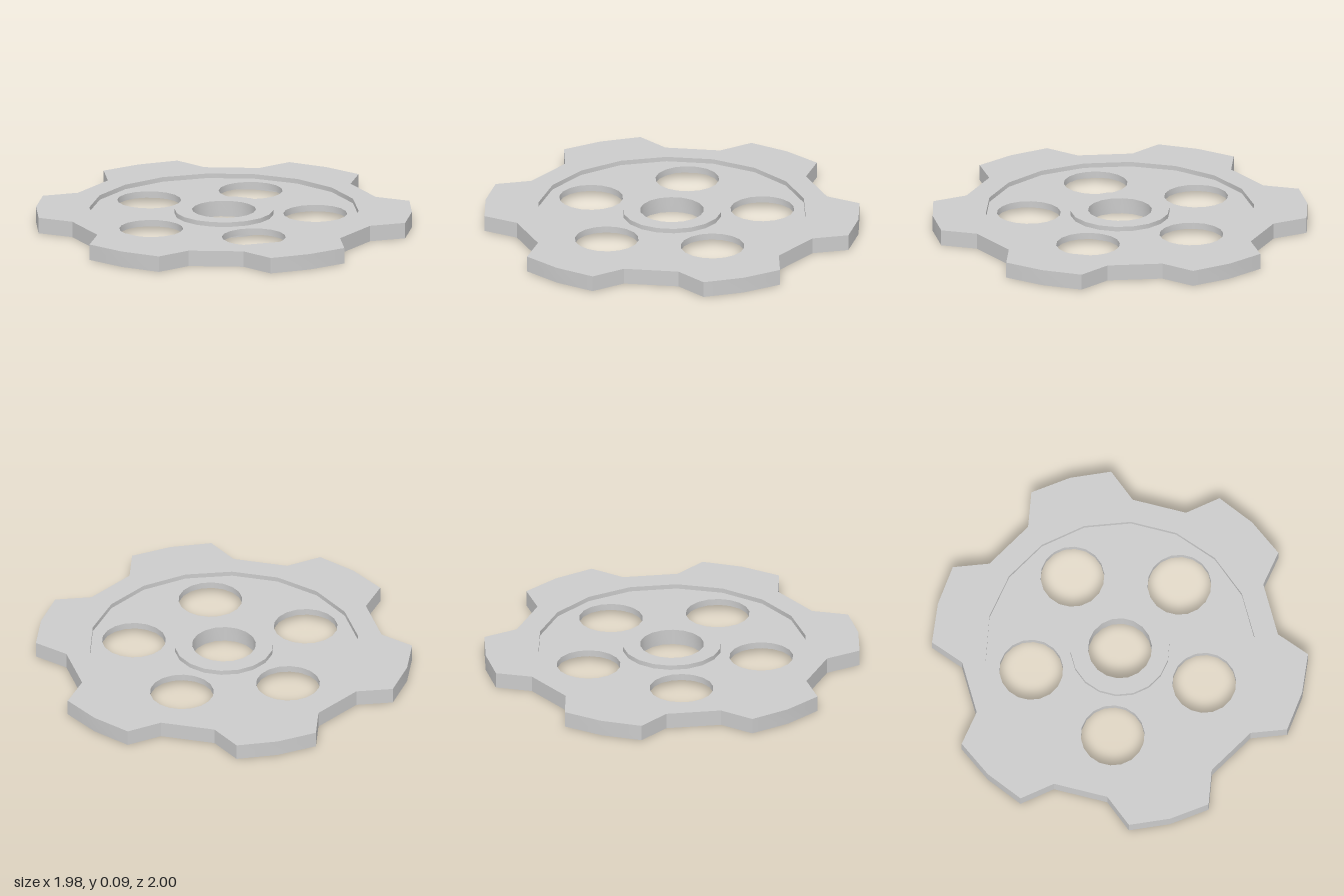
import * as THREE from 'three';
import { toCreasedNormals } from 'three/addons/utils/BufferGeometryUtils.js';

const HEIGHT = 0.085, RECESS = 0.025;
const BORE = 0.17, HUB = 0.263, RIM_INNER = 0.717, ROOT = 0.843, TIP = 1.0;

const polar = (r, deg) => new THREE.Vector2(
  r * Math.cos(THREE.MathUtils.degToRad(deg)),
  r * Math.sin(THREE.MathUtils.degToRad(deg)));

// 18-sided circle around a centre
function circle(r, cx = 0, cy = 0) {
  const pts = [];
  for (let i = 0; i < 18; i++) pts.push(polar(r, i * 20).add(new THREE.Vector2(cx, cy)));
  return pts;
}

// Flat plate with holes, lying between y0 and y1
function plate(name, outline, holes, y0, y1, material) {
  const shape = new THREE.Shape(outline);
  holes.forEach((h) => shape.holes.push(new THREE.Path(h)));
  const extruded = new THREE.ExtrudeGeometry(shape, { depth: y1 - y0, bevelEnabled: false });
  extruded.rotateX(-Math.PI / 2).translate(0, y0, 0);
  const mesh = new THREE.Mesh(toCreasedNormals(extruded, 0.5), material);
  mesh.name = name;
  return mesh;
}

export function createModel() {
  const group = new THREE.Group();
  group.name = 'gearWheel';
  const material = new THREE.MeshStandardMaterial({ color: 0xcccccc });

  // Toothed rim: six teeth, each 40 degrees wide at the root
  const teeth = [];
  for (let i = 0; i < 6; i++) {
    const mid = i * 60 + 20;
    teeth.push(polar(ROOT, mid - 20), polar(TIP, mid - 12.7), polar(TIP, mid),
      polar(TIP, mid + 12.7), polar(ROOT, mid + 20));
  }
  group.add(plate('toothedRim', teeth, [circle(RIM_INNER)], 0, HEIGHT, material));

  // Recessed web with five round openings
  const openings = [circle(HUB)];
  for (let i = 0; i < 5; i++) {
    const c = polar(0.485, 180 + i * 72);
    openings.push(circle(BORE, c.x, c.y));
  }
  group.add(plate('web', circle(RIM_INNER), openings, RECESS, HEIGHT - RECESS, material));

  // Raised hub ring around the bore
  group.add(plate('hub', circle(HUB), [circle(BORE)], 0, HEIGHT, material));

  return group;
}
